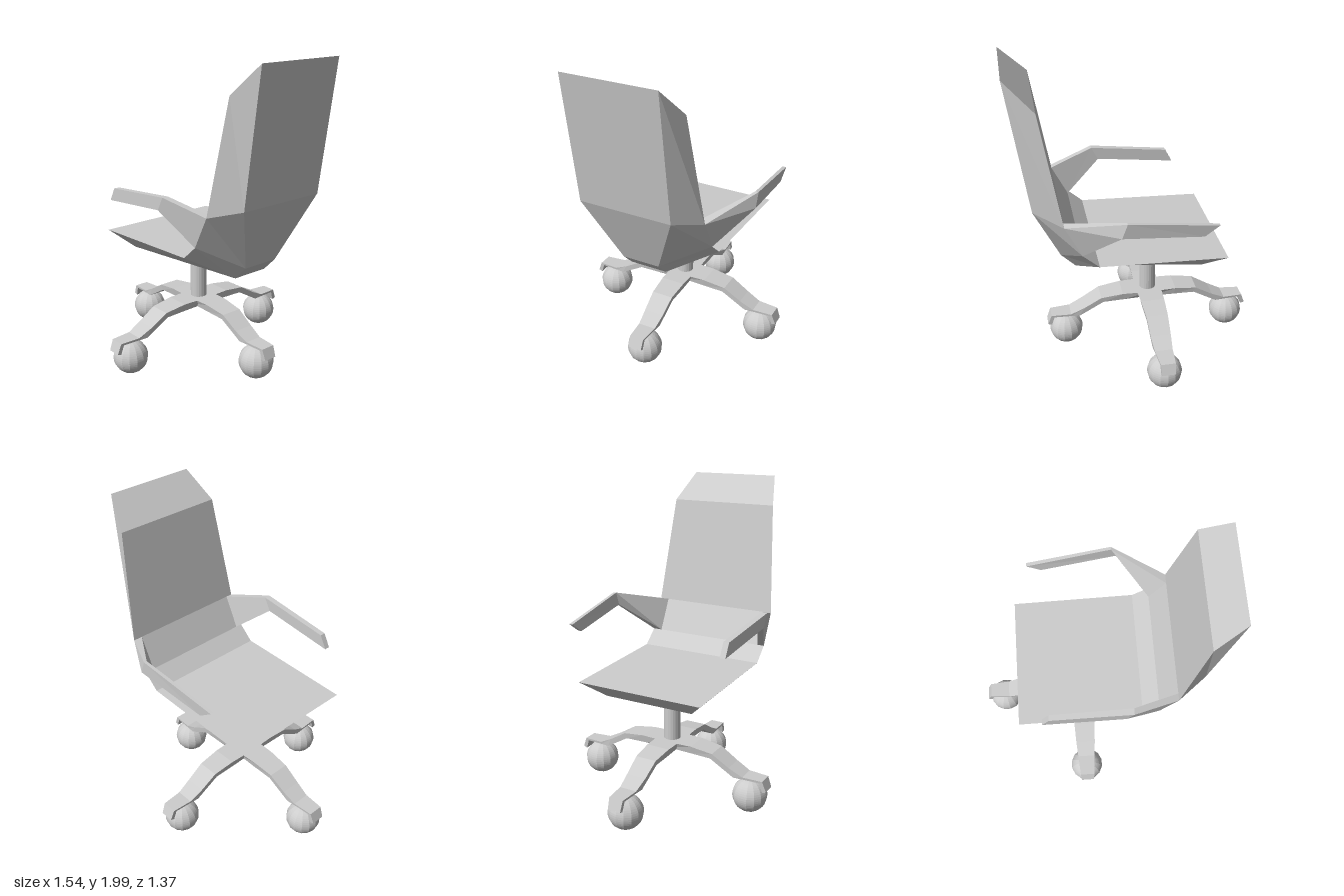
import * as THREE from 'three';

// Flat normals on every face
function faceted(geometry) {
  const g = geometry.index ? geometry.toNonIndexed() : geometry;
  g.computeVertexNormals();
  return g;
}

// Closed solid through a list of four-cornered rings of [x, y, z]
function loft(rings) {
  const pos = rings.flat(2);
  const tris = [];
  const quad = (a, b, c, d) => tris.push([a, b, c], [a, c, d]);
  for (let i = 0; i < rings.length - 1; i++) {
    for (let j = 0; j < 4; j++) {
      const a = i * 4 + j, b = i * 4 + (j + 1) % 4;
      quad(a, b, b + 4, a + 4);
    }
  }
  const e = (rings.length - 1) * 4;
  quad(3, 2, 1, 0);
  quad(e, e + 1, e + 2, e + 3);
  // Turn the faces outward when the enclosed volume is negative
  const v = (i) => new THREE.Vector3().fromArray(pos, i * 3);
  const volume = tris.reduce((s, [a, b, c]) => s + v(a).dot(v(b).cross(v(c))), 0);
  if (volume < 0) tris.forEach((t) => t.reverse());
  const g = new THREE.BufferGeometry();
  g.setAttribute('position', new THREE.Float32BufferAttribute(pos, 3));
  g.setIndex(tris.flat());
  return faceted(g);
}

export function createModel() {
  const grey = new THREE.MeshStandardMaterial({ color: 0xcccccc });
  grey.name = 'light grey';
  const chair = new THREE.Group();
  chair.name = 'officeChair';
  const add = (parent, name, geometry) => {
    const mesh = new THREE.Mesh(geometry, grey);
    mesh.name = name;
    parent.add(mesh);
    return mesh;
  };

  // Seat and back in one shell: inner x, y, half width, then outer x, y, half width
  const shell = [
    [-0.51, 0.82, 0.42, -0.38, 0.71, 0.30],
    [0.285, 0.85, 0.42, 0.40, 0.68, 0.12],
    [0.385, 0.94, 0.42, 0.49, 0.77, 0.12],
    [0.485, 1.14, 0.42, 0.655, 1.19, 0.295],
    [0.60, 1.825, 0.36, 0.77, 2.0, 0.295],
  ];
  add(chair, 'seatShell', loft(shell.map(([xi, yi, wi, xo, yo, wo]) =>
    [[xi, yi, wi], [xi, yi, -wi], [xo, yo, -wo], [xo, yo, wo]])));

  // Armrests: top x, y, bottom x, y, inner z, outer z
  const armRing = ([xt, yt, xb, yb, zi, zo]) =>
    [[xt, yt, zi], [xt, yt, zo], [xb, yb, zo], [xb, yb, zi]];
  add(chair, 'leftArmrest', loft([
    [0.485, 1.14, 0.385, 0.94, 0.375, 0.42],
    [0.205, 1.215, 0.16, 1.13, 0.47, 0.51],
    [-0.305, 1.16, -0.35, 1.075, 0.462, 0.498],
  ].map(armRing)));
  add(chair, 'rightArmrest', loft([
    [0.485, 1.14, 0.385, 0.94, -0.36, -0.42],
    [0.147, 1.23, 0.18, 1.14, -0.575, -0.595],
    [-0.40, 1.145, -0.31, 1.08, -0.535, -0.56],
  ].map(armRing)));

  // Gas column
  const base = new THREE.Group();
  base.name = 'base';
  base.position.x = -0.09;
  chair.add(base);
  add(base, 'column', faceted(new THREE.CylinderGeometry(0.053, 0.053, 0.38, 20)))
    .position.y = 0.53;

  // Four legs: top radius, y, bottom radius, y, top and bottom half width
  const leg = loft([
    [0, 0.385, 0, 0.335, 0.085, 0.062],
    [0.18, 0.385, 0.17, 0.335, 0.078, 0.068],
    [0.325, 0.365, 0.31, 0.33, 0.07, 0.066],
    [0.44, 0.295, 0.47, 0.235, 0.065, 0.06],
    [0.53, 0.25, 0.53, 0.235, 0.057, 0.055],
    [0.66, 0.247, 0.64, 0.233, 0.047, 0.047],
    [0.685, 0.18, 0.66, 0.172, 0.043, 0.043],
  ].map(([rt, yt, rb, yb, wt, wb]) =>
    [[rt, yt, wt], [rt, yt, -wt], [rb, yb, -wb], [rb, yb, wb]]));
  const ball = faceted(new THREE.SphereGeometry(0.11, 14, 24));
  for (let i = 0; i < 4; i++) {
    const spoke = new THREE.Group();
    spoke.name = 'spoke';
    spoke.rotation.y = i * Math.PI / 2;
    add(spoke, 'leg', leg);
    add(spoke, 'ballCaster', ball).position.set(0.56, 0.118, 0);
    base.add(spoke);
  }

  return chair;
}
